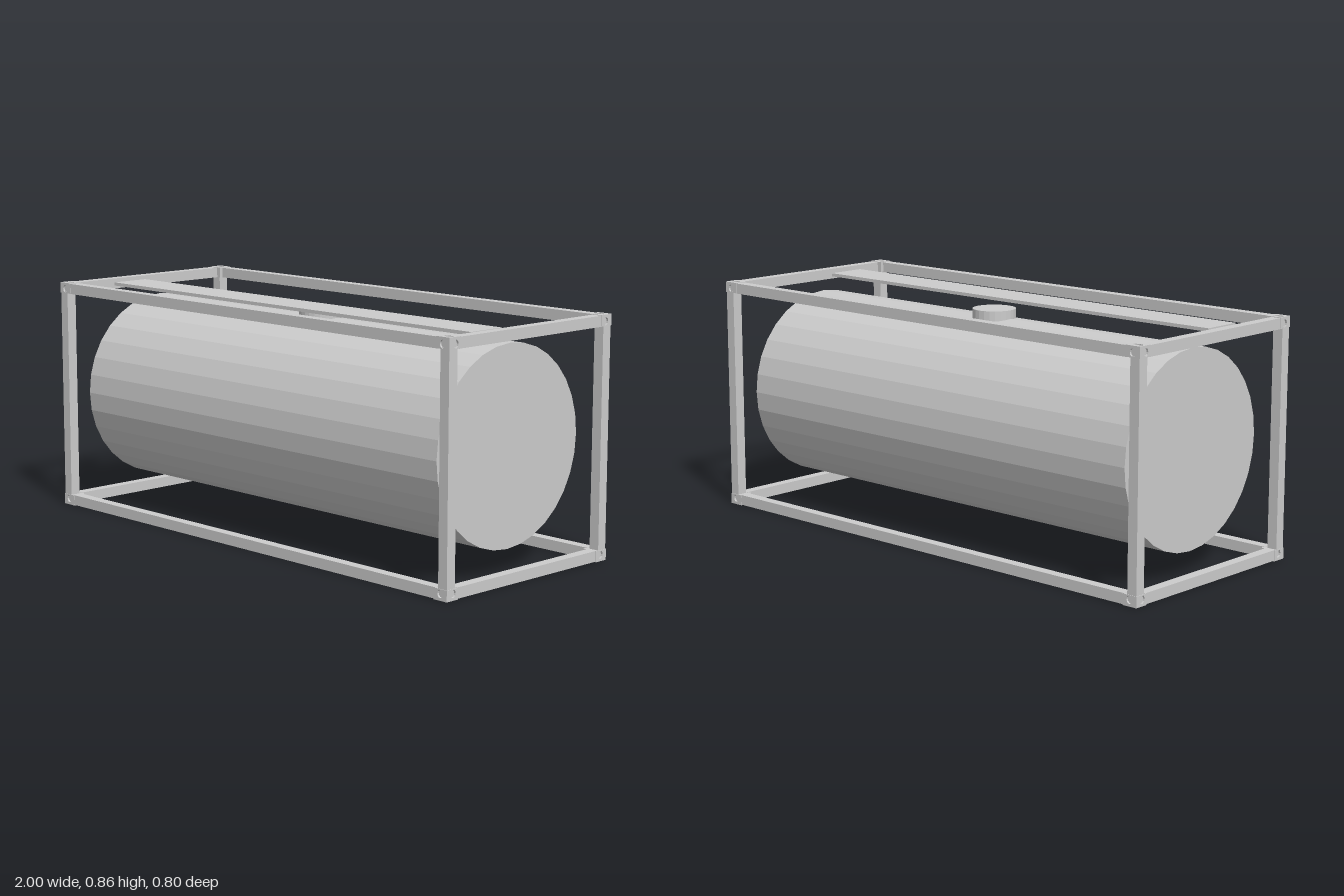
import * as THREE from 'three';

const H = 0.855, X = 1, Z = 0.402;       // overall height, half length, half width
const BAR = 0.038, INSET = 0.002;        // frame bar thickness, setback behind the castings
const CAST = [0.058, 0.039, 0.053];      // corner casting size
const WALL = 0.007;                      // casting face thickness

export function createModel() {
  const grey = new THREE.MeshStandardMaterial({ color: 0xcccccc, flatShading: true });
  grey.name = 'light grey';
  const model = new THREE.Group();
  model.name = 'tankContainer';

  const add = (parent, name, geometry, x = 0, y = 0, z = 0) => {
    const mesh = new THREE.Mesh(geometry, grey);
    mesh.name = name;
    mesh.position.set(x, y, z);
    parent.add(mesh);
    return mesh;
  };
  const box = (parent, name, w, h, d, x, y, z) =>
    add(parent, name, new THREE.BoxGeometry(w, h, d), x, y, z);

  // Tank barrel with flat ends
  const barrel = new THREE.CylinderGeometry(0.349, 0.349, 1.8, 32).rotateZ(Math.PI / 2);
  add(model, 'tankBarrel', barrel, 0, 0.438, 0);

  // Manhole on top of the barrel
  add(model, 'manhole', new THREE.CylinderGeometry(0.078, 0.078, 0.037, 24), 0, 0.7995, 0);

  // Walkway plank beside the manhole
  box(model, 'walkway', 1.83, 0.012, 0.15, 0, 0.839, 0.134);

  // Frame bars along the twelve edges
  const frame = new THREE.Group();
  frame.name = 'frame';
  model.add(frame);
  const off = BAR / 2 + INSET;
  const ex = X - off, ez = Z - off;
  const levels = [off, H - off];
  for (const y of levels) {
    for (const s of [-1, 1]) {
      box(frame, 'longRail', 2 * (X - CAST[0]) + 0.01, BAR, BAR, 0, y, s * ez);
      box(frame, 'crossRail', BAR, BAR, 2 * (Z - CAST[2]) + 0.01, s * ex, y, 0);
    }
  }
  for (const sx of [-1, 1]) for (const sz of [-1, 1])
    box(frame, 'cornerPost', BAR, H - 2 * CAST[1] + 0.01, BAR, sx * ex, H / 2, sz * ez);

  // Face plate of a casting, with an oval opening
  const plate = (w, h, rx, ry) => {
    const shape = new THREE.Shape([
      new THREE.Vector2(-w / 2, -h / 2), new THREE.Vector2(w / 2, -h / 2),
      new THREE.Vector2(w / 2, h / 2), new THREE.Vector2(-w / 2, h / 2)]);
    const hole = new THREE.Path();
    hole.absellipse(0, 0, rx, ry, 0, Math.PI * 2, true);
    shape.holes.push(hole);
    return new THREE.ExtrudeGeometry(shape, { depth: WALL, bevelEnabled: false, curveSegments: 6 })
      .translate(0, 0, -WALL / 2);
  };
  const [cw, ch, cd] = CAST;
  const endPlate = plate(cd - WALL, ch - WALL, 0.012, 0.014).rotateY(Math.PI / 2);
  const sidePlate = plate(cw, ch - WALL, 0.012, 0.014);
  const capPlate = plate(cw, cd, 0.02, 0.01).rotateX(Math.PI / 2);

  // Eight corner castings: a solid core behind three pierced outer faces
  for (const sx of [-1, 1]) for (const sy of [-1, 1]) for (const sz of [-1, 1]) {
    const casting = new THREE.Group();
    casting.name = 'cornerCasting';
    casting.position.set(sx * (X - cw / 2), H / 2 + sy * (H / 2 - ch / 2), sz * (Z - cd / 2));
    const shift = -WALL / 2;
    box(casting, 'castingCore', cw - WALL, ch - WALL, cd - WALL, sx * shift, sy * shift, sz * shift);
    add(casting, 'endFace', endPlate, sx * (cw - WALL) / 2, sy * shift, sz * shift);
    add(casting, 'sideFace', sidePlate, 0, sy * shift, sz * (cd - WALL) / 2);
    add(casting, 'capFace', capPlate, 0, sy * (ch - WALL) / 2, 0);
    model.add(casting);
  }
  return model;
}
